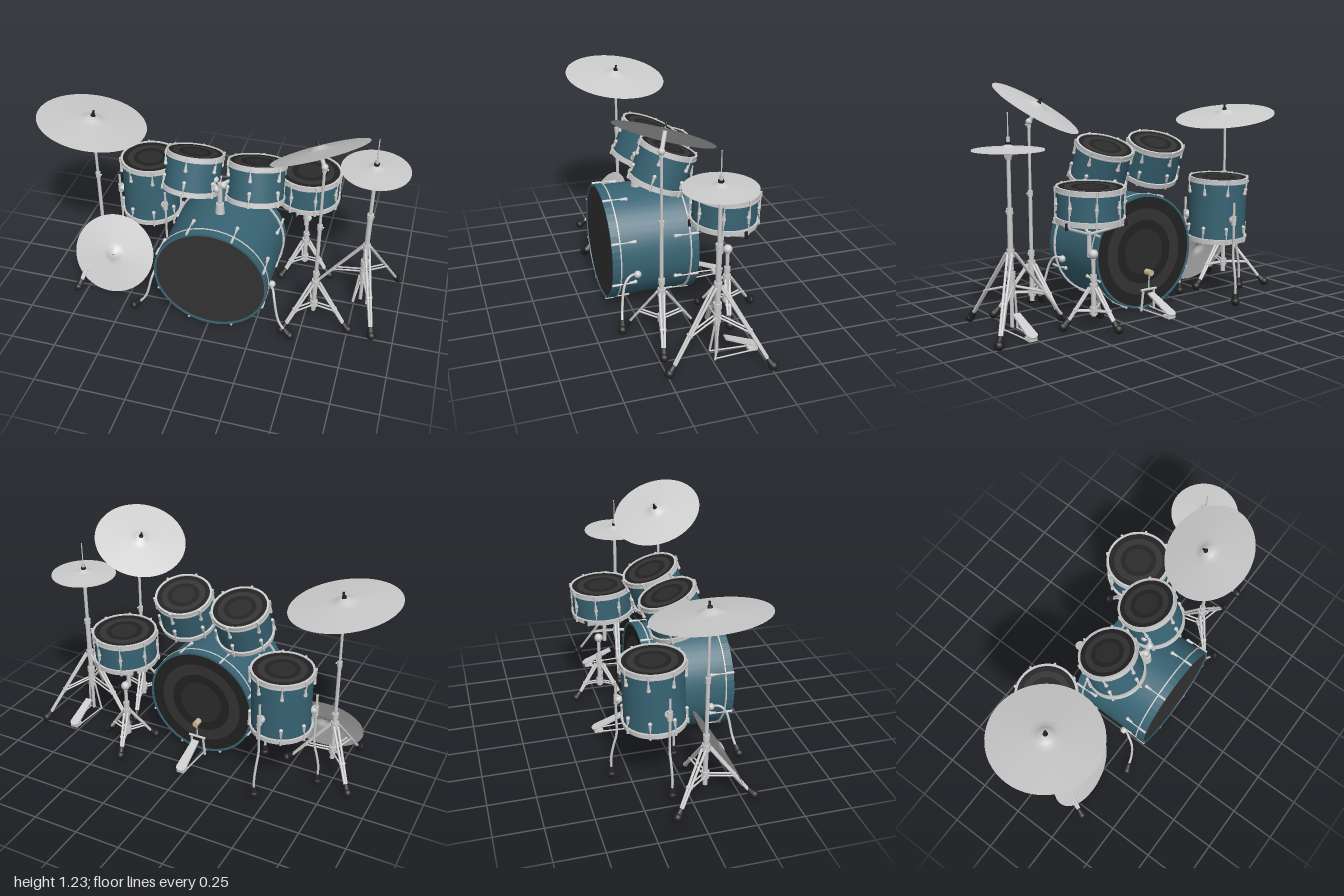
import * as THREE from 'three';

const V = (x, y, z) => new THREE.Vector3(x, y, z);
const UP = V(0, 1, 0);
const mat = (color, side = THREE.FrontSide) => new THREE.MeshStandardMaterial({ color, side });
const metal = mat(0xcccccc), bronze = mat(0xcccccc, THREE.DoubleSide);
const teal = mat(0x386474, THREE.DoubleSide), rubber = mat(0x222222);
const skin = mat(0x333333), skinDark = mat(0x222222), skinMid = mat(0x2b2b2b), felt = mat(0xc8b890);

function add(parent, name, geo, m = metal, pos) {
  const mesh = new THREE.Mesh(geo, m);
  mesh.name = name;
  if (pos) mesh.position.copy(pos);
  parent.add(mesh);
  return mesh;
}
function group(parent, name, x = 0, y = 0, z = 0) {
  const g = new THREE.Group();
  g.name = name;
  g.position.set(x, y, z);
  parent.add(g);
  return g;
}
// Straight bar between two points
function rod(parent, name, a, b, r, m = metal, r2 = r) {
  const mesh = add(parent, name, new THREE.CylinderGeometry(r2, r, a.distanceTo(b), 12), m, a.clone().lerp(b, 0.5));
  mesh.quaternion.setFromUnitVectors(UP, b.clone().sub(a).normalize());
}
const pipe = (parent, name, pts, r) =>
  add(parent, name, new THREE.TubeGeometry(new THREE.CatmullRomCurve3(pts, false, 'centripetal'), 28, r, 8));
const ball = (parent, name, p, r, m = metal) => add(parent, name, new THREE.SphereGeometry(r, 14, 10), m, p);
const polar = (r, a, y) => V(r * Math.cos(a), y, r * Math.sin(a));
const rad = THREE.MathUtils.degToRad;

// Rubber tip in line with the leg that enters it
function foot(parent, from, tip) {
  const d = from.clone().sub(tip).normalize();
  ball(parent, 'rubberFoot', tip.clone().setY(0.031), 0.024, rubber);
  rod(parent, 'rubberSleeve', tip.clone().setY(0.028), tip.clone().addScaledVector(d, 0.055), 0.022, rubber, 0.014);
}

// Rectangular ring around y
function hoop(parent, name, r0, r1, y0, y1, m) {
  const p = [[r0, y0], [r1, y0], [r1, y1], [r0, y1], [r0, y0]].map(q => new THREE.Vector2(...q));
  const g = new THREE.LatheGeometry(p, 48).toNonIndexed();
  g.computeVertexNormals();
  add(parent, name, g, m);
}

// Drum along y: batter head at +y, resonant head at -y
function drum(parent, name, R, H, lugs, lugInset, hoopM = metal, hoopH = 0.02) {
  const g = group(parent, name), h = H / 2;
  add(g, 'shell', new THREE.CylinderGeometry(R - 0.008, R - 0.008, H - 0.01, 48, 1, true), teal);
  for (const s of [1, -1]) {
    const end = group(g, s > 0 ? 'batterEnd' : 'resonantEnd');
    if (s < 0) end.rotation.x = Math.PI;
    hoop(end, 'hoop', R - 0.012, R, h - hoopH, h, hoopM);
    hoop(end, 'hoopFlange', R - 0.012, R + 0.003, h - hoopH - 0.007, h - hoopH, metal);
    const flat = (n, geo, m, y) => { add(end, n, geo, m, V(0, y, 0)).rotation.x = -Math.PI / 2; };
    flat('head', new THREE.CircleGeometry(R - 0.01, 48), skin, h - 0.006);
    if (s > 0) {
      flat('headEdge', new THREE.RingGeometry(R * 0.76, R - 0.01, 48), skinDark, h - 0.005);
      flat('headRing', new THREE.RingGeometry(R * 0.4, R * 0.56, 48), skinDark, h - 0.005);
      flat('headCentre', new THREE.CircleGeometry(R * 0.4, 48), skinMid, h - 0.005);
    }
    // Lugs with tension rods and claws
    for (let i = 0; i < lugs; i++) {
      const a = (i + 0.5) / lugs * Math.PI * 2, r = R + 0.003, y = h - lugInset;
      rod(end, 'tensionRod', polar(r, a, y), polar(r, a, h - 0.002), 0.0035);
      rod(end, 'lug', polar(r - 0.004, a, y - 0.018), polar(r - 0.004, a, y + 0.018), 0.009, metal, 0.006);
      ball(end, 'lugBase', polar(r - 0.006, a, y - 0.015), 0.011);
      rod(end, 'claw', polar(r, a, h - hoopH - 0.004), polar(r, a, h + 0.001), 0.007);
    }
  }
  return g;
}

// Shallow cymbal with raised bell, tilted to a normal
function cymbal(parent, name, R, pos, n = UP, flip = 1) {
  const g = group(parent, name, pos.x, pos.y, pos.z);
  g.quaternion.setFromUnitVectors(UP, n.clone().normalize());
  const prof = [[0.015, 0.135], [0.08, 0.125], [0.15, 0.095], [0.2, 0.065], [0.3, 0.055], [0.65, 0.03], [1, 0]];
  add(g, 'cymbalPlate', new THREE.LatheGeometry(prof.map(([r, y]) => new THREE.Vector2(r * R, y * R * flip)).reverse(), 56), bronze);
  return g;
}
function topNut(g, y) {
  add(g, 'feltWasher', new THREE.CylinderGeometry(0.011, 0.013, 0.012, 14), rubber, V(0, y, 0));
  add(g, 'wingNut', new THREE.CylinderGeometry(0.006, 0.006, 0.022, 10), rubber, V(0, y + 0.016, 0));
}

// Three-legged base around local origin
function tripod(parent, R, hubY, angles, braceY) {
  const g = group(parent, 'tripod');
  for (const y of [hubY, braceY]) add(g, 'hub', new THREE.CylinderGeometry(0.021, 0.021, 0.04, 14), metal, V(0, y, 0));
  for (const deg of angles) {
    const a = rad(deg), top = polar(0.02, a, hubY), tip = polar(R, a, 0.02);
    const side = polar(0.011, a + Math.PI / 2, 0), mid = top.clone().lerp(tip, 0.55);
    for (const s of [1, -1]) {
      const o = side.clone().multiplyScalar(s);
      rod(g, 'leg', top.clone().add(o), tip.clone().addScaledVector(o, 0.4), 0.007);
      rod(g, 'brace', polar(0.018, a, braceY).add(o), mid.clone().add(o), 0.005);
    }
    rod(g, 'hingePin', mid.clone().addScaledVector(side, 1.5), mid.clone().addScaledVector(side, -1.5), 0.007);
    foot(g, top, tip);
  }
  return g;
}
// Telescopic column: [height, radius] of each section
function column(parent, y0, sections) {
  for (const [y, r] of sections) {
    rod(parent, 'columnTube', V(0, y0, 0), V(0, y, 0), r);
    add(parent, 'columnCollar', new THREE.CylinderGeometry(r + 0.004, r + 0.004, 0.03, 14), metal, V(0, y, 0));
    rod(parent, 'wingScrew', V(0, y, 0), V(0.022, y, 0), 0.005);
    y0 = y;
  }
}
// Sloped pedal with a rounded heel toward -z
function pedal(parent, z0, z1, yTop) {
  const g = group(parent, 'pedal'), len = z0 - z1;
  const s = new THREE.Shape();
  s.moveTo(0.028, 0.03); s.lineTo(0.02, len); s.lineTo(-0.02, len); s.lineTo(-0.028, 0.03);
  s.absarc(0, 0.03, 0.028, Math.PI, Math.PI * 2);
  const board = add(g, 'footboard', new THREE.ExtrudeGeometry(s, { depth: 0.01, bevelEnabled: false }), metal, V(0, 0.035, z1));
  board.rotation.x = Math.PI / 2 - Math.atan2(yTop - 0.035, len);
  add(g, 'heelPlate', new THREE.BoxGeometry(0.045, 0.016, 0.05), metal, V(0, 0.02, z1 + 0.04));
  for (const sx of [1, -1]) rod(g, 'baseRod', V(sx * 0.02, 0.018, z1 + 0.03), V(sx * 0.035, 0.018, z0 + 0.05), 0.004);
}

export function createModel() {
  const kit = new THREE.Group();
  kit.name = 'drumKit';

  // Bass drum with spurs
  const bass = drum(kit, 'bassDrum', 0.312, 0.472, 8, 0.11, teal, 0.042);
  bass.position.set(0.012, 0.326, 0.135);
  bass.rotation.x = -Math.PI / 2;
  for (const s of [1, -1]) {
    const g = group(kit, 'bassSpur', 0.012, 0, 0);
    ball(g, 'spurBracket', V(s * 0.312, 0.265, 0.24), 0.02);
    pipe(g, 'spurLeg', [V(s * 0.3, 0.265, 0.24), V(s * 0.33, 0.268, 0.29), V(s * 0.345, 0.23, 0.32), V(s * 0.38, 0.1, 0.345), V(s * 0.44, 0.03, 0.36)], 0.007);
    foot(g, V(s * 0.38, 0.1, 0.345), V(s * 0.445, 0.022, 0.362));
  }

  // Rack toms tilted toward the player, on a shared post
  const mount = group(kit, 'tomMount', 0.012, 0, 0.16);
  rod(mount, 'mountBase', V(0, 0.62, 0), V(0, 0.69, 0), 0.027, metal, 0.021);
  rod(mount, 'mountPost', V(0, 0.65, 0), V(0, 0.82, 0), 0.013);
  for (const s of [1, -1]) {
    const tom = drum(kit, 'rackTom', 0.156, 0.215, 6, 0.06);
    tom.position.set(0.01 + s * 0.172, 0.803, 0.062);
    tom.rotation.set(-rad(20), 0, s * rad(2));
    const y = s > 0 ? 0.81 : 0.78;
    ball(mount, 'armJoint', V(s * 0.018, y, 0), 0.02);
    pipe(mount, 'tomArm', [V(0, y, 0), V(s * 0.03, y + 0.015, -0.01), V(s * 0.05, y + 0.01, -0.04), V(s * 0.07, 0.8, -0.075)], 0.009);
    ball(mount, 'tomBracket', V(s * 0.04, 0.8, -0.05), 0.02);
  }

  // Floor tom, leaning slightly back, on three bent legs
  const floorTom = group(kit, 'floorTom', -0.479, 0, -0.135);
  const fd = drum(floorTom, 'floorTomDrum', 0.167, 0.36, 8, 0.07);
  fd.position.set(0, 0.525, 0.005);
  fd.rotation.x = -rad(2);
  for (const deg of [-77, 47, 168]) {
    const a = rad(deg), p = (r, y) => polar(r, a, y);
    ball(floorTom, 'legBracket', p(0.172, 0.48), 0.022);
    rod(floorTom, 'legClamp', p(0.183, 0.455), p(0.183, 0.505), 0.014);
    pipe(floorTom, 'floorTomLeg', [p(0.185, 0.58), p(0.185, 0.4), p(0.185, 0.27), p(0.2, 0.21), p(0.215, 0.13), p(0.215, 0.04)], 0.007);
    foot(floorTom, p(0.215, 0.2), p(0.215, 0.02));
  }

  // Snare drum in a basket offset from its stand
  const snare = group(kit, 'snare', 0.42, 0, -0.196);
  const sd = drum(snare, 'snareDrum', 0.175, 0.18, 8, 0.075);
  sd.position.y = 0.645;
  sd.rotation.x = -rad(2.5);
  const stand = group(snare, 'snareStand', 0, 0, -0.025);
  tripod(stand, 0.163, 0.22, [-106, 14, 134], 0.1);
  column(stand, 0.07, [[0.27, 0.013], [0.38, 0.01]]);
  ball(stand, 'basketTilter', V(0, 0.39, 0), 0.025);
  rod(snare, 'basketPost', V(0, 0.37, 0.012), V(0, 0.5, 0.012), 0.012);
  for (const deg of [-17, 103, 223]) {
    const a = rad(deg);
    rod(snare, 'basketArm', V(0, 0.485, 0.012), polar(0.172, a, 0.543), 0.008);
    rod(snare, 'basketGrip', polar(0.178, a, 0.535), polar(0.178, a, 0.57), 0.009, rubber);
  }

  // Crash on a straight stand
  const crashA = group(kit, 'crashStandRight', -0.71, 0, 0.075);
  tripod(crashA, 0.25, 0.3, [110, 230, 350], 0.14);
  column(crashA, 0.08, [[0.36, 0.013], [0.68, 0.01], [1.0, 0.0075]]);
  rod(crashA, 'tilter', V(0, 0.98, 0), V(0.005, 1.05, 0), 0.009);
  topNut(cymbal(crashA, 'crashCymbal', 0.291, V(-0.001, 1.02, 0.003), V(0.175, 1, -0.08)), 0.043);

  // Opposite crash, steeply tilted
  const crashB = group(kit, 'crashStandLeft', 0.55, 0, 0.18);
  tripod(crashB, 0.21, 0.28, [14, 134, 254], 0.13);
  column(crashB, 0.08, [[0.34, 0.013], [0.66, 0.01], [1.02, 0.0075]]);
  ball(crashB, 'tilterJoint', V(0, 1.035, 0), 0.018);
  rod(crashB, 'tilterArm', V(0, 1.03, 0), V(-0.04, 1.12, -0.03), 0.011);
  topNut(cymbal(crashB, 'crashCymbal', 0.253, V(-0.031, 1.104, -0.02), V(-0.37, 0.866, -0.36)), 0.034);

  // Hi-hat: two facing cymbals, pull rod and pedal
  const hat = group(kit, 'hiHat', 0.783, 0, -0.03);
  tripod(hat, 0.293, 0.41, [-50, 70, 190], 0.24);
  column(hat, 0.03, [[0.2, 0.01], [0.3, 0.018], [0.62, 0.014], [0.89, 0.01]]);
  rod(hat, 'pullRod', V(0, 0.88, 0), V(0, 1.105, 0), 0.003);
  cymbal(hat, 'bottomHat', 0.179, V(0, 0.919, 0), UP, -1);
  cymbal(hat, 'topHat', 0.179, V(0, 0.924, 0));
  add(hat, 'hatSeat', new THREE.CylinderGeometry(0.022, 0.014, 0.03, 16), metal, V(0, 0.888, 0));
  add(hat, 'hatClutch', new THREE.CylinderGeometry(0.009, 0.009, 0.04, 12), metal, V(0, 0.965, 0));
  add(hat, 'hatFelt', new THREE.CylinderGeometry(0.014, 0.014, 0.012, 12), rubber, V(0, 0.955, 0));
  for (const s of [1, -1]) rod(hat, 'pedalFrame', V(s * 0.04, 0.015, 0.02), V(s * 0.02, 0.2, 0), 0.006);
  pedal(hat, -0.03, -0.23, 0.12);

  // Bass drum pedal with beater
  const kick = group(kit, 'bassPedal', 0.013, 0, 0);
  pedal(kick, -0.145, -0.36, 0.12);
  for (const s of [1, -1]) rod(kick, 'pedalPost', V(s * 0.042, 0.01, -0.13), V(s * 0.035, 0.13, -0.14), 0.007);
  rod(kick, 'pedalAxle', V(-0.05, 0.127, -0.14), V(0.05, 0.127, -0.14), 0.007);
  rod(kick, 'beaterShaft', V(0, 0.127, -0.14), V(0, 0.22, -0.145), 0.004);
  rod(kick, 'beaterHead', V(0, 0.22, -0.165), V(0, 0.22, -0.12), 0.017, felt);

  // Spare cymbal leaning against the stand
  cymbal(kit, 'leaningCymbal', 0.227, V(-0.613, 0.213, 0.172), V(0.1, 0.43, 0.89));
  return kit;
}
